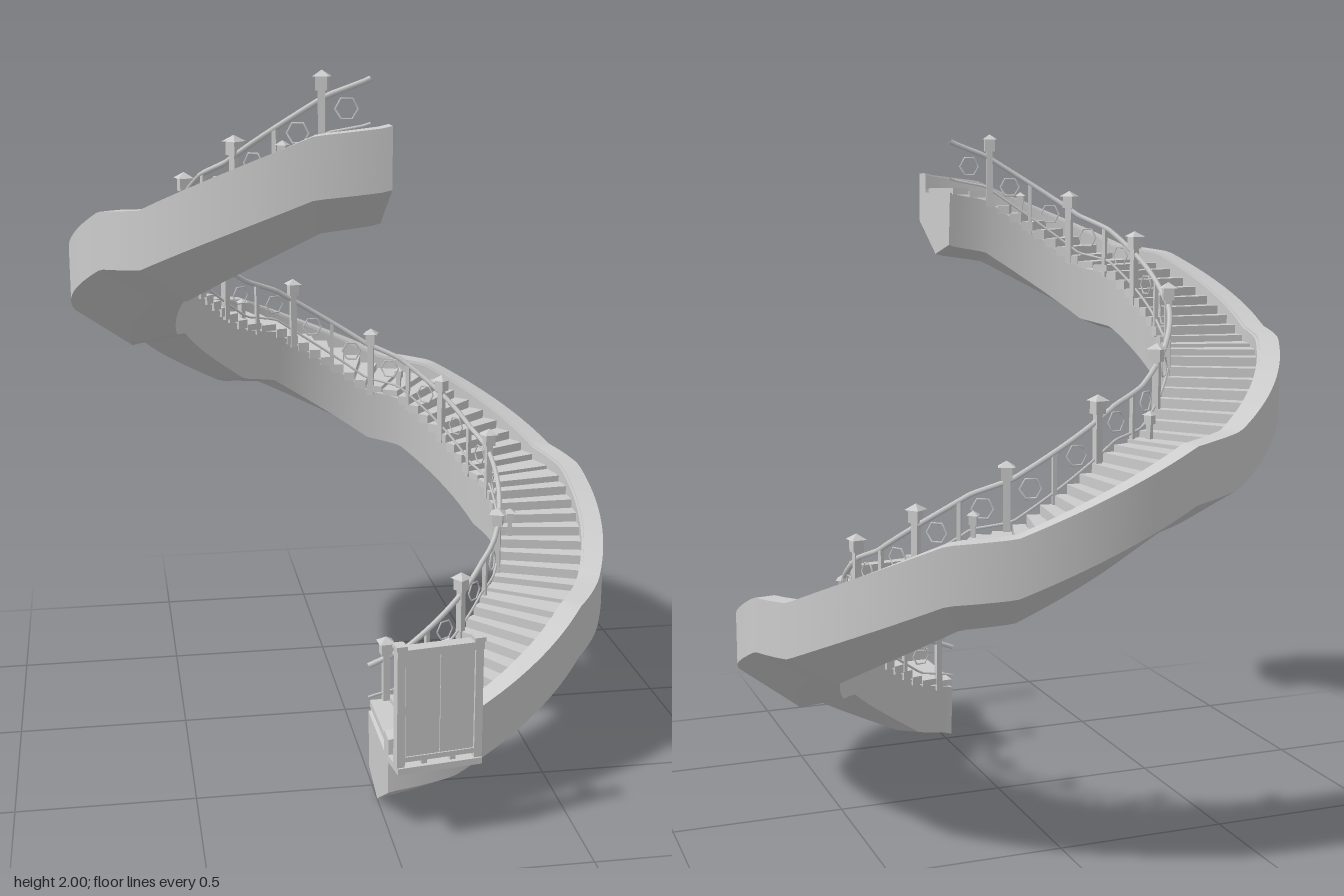
import * as THREE from 'three';

const mat = new THREE.MeshStandardMaterial({ color: 0xcccccc, side: THREE.DoubleSide });
const CZ = -0.05, RAIL_R = 0.48;
const FLIGHTS = 7, PITCH = 49.4, FIRST = 7, RISE = 0.2275, HALF = 6.5;

// point on the helix: angle in degrees, radius, height
function at(a, r, y) {
  const t = THREE.MathUtils.degToRad(a);
  return new THREE.Vector3(r * Math.sin(t), y, CZ + r * Math.cos(t));
}

// reference height: flights separated by nearly flat landings
function height(a) {
  const k = THREE.MathUtils.clamp(Math.round((a - FIRST) / PITCH), 0, FLIGHTS);
  const d = a - FIRST - k * PITCH, base = 0.125 + RISE * k, tilt = 0.01;
  if (Math.abs(d) <= HALF) return base + tilt * d / HALF;
  const s = (Math.abs(d) - HALF) / (PITCH / 2 - HALF);
  return base + Math.sign(d) * (tilt + s * (RISE / 2 - tilt));
}
const railHeight = (a) => 0.5 * (height(a) + 0.245) + 0.5 * (0.33 + 0.0046 * a);

function add(parent, name, geo, pos) {
  const m = new THREE.Mesh(geo, mat);
  m.name = name;
  if (pos) m.position.copy(pos);
  parent.add(m);
  return m;
}

// sweep a closed (radius, y) profile around the helix, sharp along the profile edges
function sweep(profile, angles, yAt) {
  const pos = [], idx = [], n = profile.length;
  const put = (p, a) => pos.push(...at(a, p[0], p[1] + yAt(a)).toArray());
  for (let e = 0; e < n; e++) {
    const start = pos.length / 3;
    for (const a of angles) {
      put(profile[e], a);
      put(profile[(e + 1) % n], a);
    }
    for (let i = 0; i < angles.length - 1; i++) {
      const q = start + i * 2;
      idx.push(q, q + 2, q + 3, q, q + 3, q + 1);
    }
  }
  // end caps
  const tris = THREE.ShapeUtils.triangulateShape(profile.map((p) => new THREE.Vector2(...p)), []);
  [angles[0], angles[angles.length - 1]].forEach((a, end) => {
    const s = pos.length / 3;
    profile.forEach((p) => put(p, a));
    for (const [i, j, k] of tris) idx.push(s + i, s + (end ? k : j), s + (end ? j : k));
  });
  const g = new THREE.BufferGeometry();
  g.setAttribute('position', new THREE.Float32BufferAttribute(pos, 3));
  g.setIndex(idx);
  g.computeVertexNormals();
  return g;
}

const range = (from, to, n) => Array.from({ length: n + 1 }, (_, i) => from + (to - from) * i / n);

class HelixCurve extends THREE.Curve {
  constructor(r, yAt) { super(); this.r = r; this.yAt = yAt; }
  getPoint(t, target = new THREE.Vector3()) {
    return target.copy(at(360 * t, this.r, this.yAt(360 * t)));
  }
}

// square post with a lantern-like cap
function post(parent, name, a, r, y0, y1, w) {
  const g = new THREE.Group();
  g.name = name;
  g.position.copy(at(a, r, 0));
  g.rotation.y = THREE.MathUtils.degToRad(a);
  const v = (y) => new THREE.Vector3(0, y, 0);
  const headH = w * 1.5, roofH = w * 0.7, body = y1 - headH - roofH - y0;
  add(g, 'shaft', new THREE.BoxGeometry(w * 0.8, body, w * 0.8), v(y0 + body / 2));
  add(g, 'head', new THREE.BoxGeometry(w * 1.3, headH, w * 1.3), v(y0 + body + headH / 2));
  const roof = new THREE.ConeGeometry(w * 1.35, roofH, 4).rotateY(Math.PI / 4).toNonIndexed();
  roof.computeVertexNormals();
  add(g, 'roof', roof, v(y1 - roofH / 2));
  parent.add(g);
}

// gate panel standing on a bracket outside the lowest landing
function gate() {
  const g = new THREE.Group();
  g.name = 'gate';
  g.position.set(0.118, 0, 0.785);
  g.rotation.y = THREE.MathUtils.degToRad(8);
  const box = (name, w, h, d, x, y, z) =>
    add(g, name, new THREE.BoxGeometry(w, h, d), new THREE.Vector3(x, y, z));
  box('bracket', 0.235, 0.018, 0.085, 0, 0.222, 0.0);
  box('panelCore', 0.2, 0.29, 0.008, 0, 0.395, 0.025);
  for (const s of [-1, 1]) {
    box('leaf', 0.093, 0.285, 0.016, s * 0.048, 0.395, 0.025);
    box('sidePost', 0.022, 0.33, 0.03, s * 0.108, 0.395, 0.022);
    box('sidePostCap', 0.03, 0.012, 0.038, s * 0.108, 0.566, 0.022);
    box('foot', 0.016, 0.035, 0.05, s * 0.04, 0.235, 0.005);
  }
  box('lintel', 0.24, 0.022, 0.036, 0, 0.55, 0.022);
  box('sill', 0.2, 0.014, 0.03, 0, 0.252, 0.022);
  for (let i = 0; i < 4; i++) box('backBatten', 0.195, 0.008, 0.008, 0, 0.3 + i * 0.065, 0.014);
  box('lampArm', 0.008, 0.008, 0.035, 0.108, 0.45, -0.008);
  box('lamp', 0.022, 0.035, 0.022, 0.108, 0.463, -0.025);
  box('lampRoof', 0.03, 0.008, 0.03, 0.108, 0.485, -0.025);
  return g;
}

export function createModel() {
  const model = new THREE.Group();
  model.name = 'spiralStaircase';

  // continuous shell: outer wall, trough and faceted underside
  const shell = [[0.795, 0], [0.795, 0.155], [0.738, 0.155], [0.728, 0.092],
    [0.482, 0.092], [0.495, -0.072], [0.63, -0.105]];
  add(model, 'shell', sweep(shell, range(0, 360, 180), height));
  // trim strip along the inner foot of the wall
  add(model, 'innerWallTrim', sweep([[0.74, 0.09], [0.74, 0.15], [0.73, 0.15], [0.73, 0.09]],
    range(0, 360, 180), height));

  // landings and treads
  const treads = new THREE.Group();
  treads.name = 'treads';
  model.add(treads);
  const slab = (name, a0, a1, thick) => {
    const top = height((a0 + a1) / 2) + 0.115;
    add(treads, name, sweep([[0.732, -thick], [0.732, 0], [0.474, 0], [0.474, -thick]],
      range(a0 + 0.15, a1 - 0.15, 3), () => top));
  };
  const perFlight = 8, step = (PITCH - 2 * HALF) / perFlight;
  for (let k = 0; k <= FLIGHTS; k++) {
    const c = FIRST + k * PITCH;
    const a0 = Math.max(0, c - HALF), a1 = Math.min(360, c + HALF);
    for (let i = 0; i < 2; i++) {
      slab('landing', a0 + (a1 - a0) * i / 2, a0 + (a1 - a0) * (i + 1) / 2, 0.02);
    }
    if (k < FLIGHTS) {
      for (let i = 0; i < perFlight; i++) slab('tread', a1 + i * step, a1 + (i + 1) * step, 0.028);
    }
  }

  // inner railing
  const railing = new THREE.Group();
  railing.name = 'railing';
  model.add(railing);
  add(railing, 'handrail', new THREE.TubeGeometry(new HelixCurve(RAIL_R, railHeight), 160, 0.008, 6));
  add(railing, 'lowerRail',
    new THREE.TubeGeometry(new HelixCurve(RAIL_R, (a) => height(a) + 0.135), 160, 0.004, 5));
  const SPACE = 30.8;
  for (let i = 0; i < 12; i++) {
    const a = 6 + i * SPACE, b = a + SPACE / 2;
    post(railing, 'post', a, RAIL_R, height(a) + 0.08, height(a) + 0.305, 0.024);
    if (b < 360) {
      const y0 = height(b) + 0.08, y1 = railHeight(b);
      add(railing, 'baluster', new THREE.BoxGeometry(0.012, y1 - y0, 0.012),
        at(b, RAIL_R, (y0 + y1) / 2)).rotation.y = THREE.MathUtils.degToRad(b);
    }
    // ring ornaments in each half bay
    for (const c of [a + SPACE / 4, a + SPACE * 0.75]) {
      if (c > 355) continue;
      add(railing, 'ringOrnament', new THREE.TorusGeometry(0.03, 0.003, 4, 6),
        at(c, RAIL_R, (railHeight(c) + height(c) + 0.135) / 2)).rotation.y = THREE.MathUtils.degToRad(c);
    }
  }
  // small lamps standing on the treads
  for (const a of [27.5, 81, 150, 210, 272, 333.5]) {
    post(model, 'stairLamp', a, 0.515, height(a) + 0.09, height(a) + 0.19, 0.017);
  }

  model.add(gate());
  return model;
}
